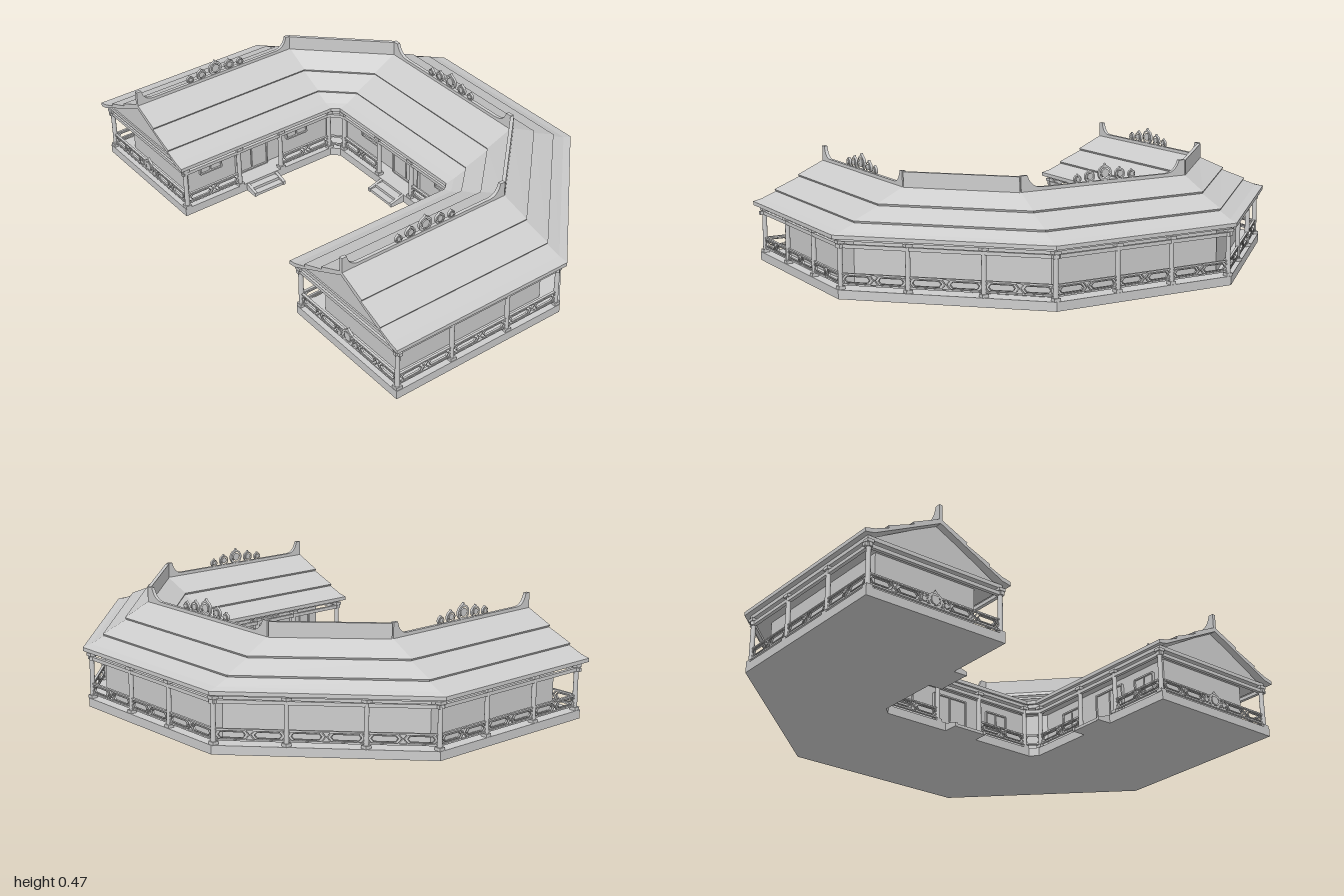
import * as THREE from 'three';

const grey = new THREE.MeshStandardMaterial({ color: 0xcccccc });
grey.name = 'pale grey';

function add(parent, name, geometry, x = 0, y = 0, z = 0) {
  const mesh = new THREE.Mesh(geometry, grey);
  mesh.name = name;
  mesh.position.set(x, y, z);
  parent.add(mesh);
  return mesh;
}
const box = (w, h, d) => new THREE.BoxGeometry(w, h, d);
const extrude = (shape, depth) =>
  new THREE.ExtrudeGeometry(shape, { depth, bevelEnabled: false, curveSegments: 8 }).translate(0, 0, -depth / 2);

// U-shaped plan line: left half as [x, z], mirrored to the right
const plan = (half) => [...half, ...half.slice().reverse().map(([x, z]) => [-x, z])];
const middle = (a, b) => a.map((p, i) => [(p[0] + b[i][0]) / 2, (p[1] + b[i][1]) / 2]);

// Sweep a closed profile of [s, y] around the U; s is -1 outside, 0 on the ridge, 1 in the court
function loft(outer, ridge, inner, profile) {
  const point = (j, k) => {
    const [s, y] = profile[k], e = s < 0 ? outer[j] : inner[j], r = ridge[j], t = Math.abs(s);
    return [r[0] + (e[0] - r[0]) * t, y, r[1] + (e[1] - r[1]) * t];
  };
  const n = profile.length, last = outer.length - 1, pos = [];
  for (let j = 0; j < last; j++) {
    for (let k = 0; k < n; k++) {
      const a = point(j, k), b = point(j, (k + 1) % n), c = point(j + 1, (k + 1) % n), d = point(j + 1, k);
      pos.push(...a, ...d, ...c, ...a, ...c, ...b);
    }
  }
  for (const [a, b, c] of THREE.ShapeUtils.triangulateShape(profile.map((p) => new THREE.Vector2(...p)), [])) {
    pos.push(...point(0, a), ...point(0, b), ...point(0, c));
    pos.push(...point(last, a), ...point(last, c), ...point(last, b));
  }
  const g = new THREE.BufferGeometry();
  g.setAttribute('position', new THREE.Float32BufferAttribute(pos, 3));
  g.computeVertexNormals();
  return g;
}
const slab = (outer, inner, y0, y1) =>
  loft(outer, middle(outer, inner), inner, [[-1, y0], [1, y0], [1, y1], [-1, y1]]);

// Group lying along p to q, its local x pointing towards q
function span(parent, name, p, q) {
  const g = new THREE.Group();
  g.name = name;
  g.position.set((p[0] + q[0]) / 2, 0, (p[1] + q[1]) / 2);
  g.rotation.y = Math.atan2(p[1] - q[1], q[0] - p[0]);
  parent.add(g);
  return [g, Math.hypot(q[0] - p[0], q[1] - p[1])];
}

function hexagon(path, w, h) {
  const c = Math.min(h * 0.8, w * 0.4);
  path.moveTo(-w, 0).lineTo(-w + c, -h).lineTo(w - c, -h).lineTo(w, 0).lineTo(w - c, h).lineTo(-w + c, h).closePath();
  return path;
}
function hexRing(w, h, t) {
  const shape = hexagon(new THREE.Shape(), w, h);
  shape.holes.push(hexagon(new THREE.Path(), w - t * 1.3, h - t));
  return extrude(shape, 0.008);
}

// Balustrade bay: two rails with a chain of nested hexagons
function railing(parent, p, q) {
  const [g, length] = span(parent, 'railing', p, q);
  const n = Math.max(1, Math.round(length / 0.12)), w = length / n;
  for (const y of [0.053, 0.094]) add(g, 'rail', box(length, 0.005, 0.01), 0, y, 0);
  for (let i = 0; i < n; i++) {
    const x = (i + 0.5) * w - length / 2;
    add(g, 'latticeHexagon', hexRing(w / 2, 0.02, 0.004), x, 0.0735, 0);
    if (w > 0.07) add(g, 'innerHexagon', hexRing(w / 2 - 0.015, 0.013, 0.003), x, 0.0735, 0);
  }
}

// Pointed flame disc: pierced leaf with a round boss
function flame(parent, x, y, r) {
  const leaf = new THREE.Shape();
  leaf.moveTo(0, r * 2.25).quadraticCurveTo(r * 0.12, r * 1.9, r * 0.55, r * 1.75);
  leaf.bezierCurveTo(r * 1.25, r * 1.3, r * 1.15, r * 0.3, r * 0.5, 0);
  leaf.lineTo(-r * 0.5, 0);
  leaf.bezierCurveTo(-r * 1.15, r * 0.3, -r * 1.25, r * 1.3, -r * 0.55, r * 1.75);
  leaf.quadraticCurveTo(-r * 0.12, r * 1.9, 0, r * 2.25);
  leaf.holes.push(new THREE.Path().absarc(0, r * 0.92, r * 0.75, 0, Math.PI * 2, true));
  add(parent, 'flameLeaf', extrude(leaf, 0.01), x, y, 0);
  const boss = new THREE.CylinderGeometry(r * 0.58, r * 0.58, 0.012, 16).rotateX(Math.PI / 2);
  add(parent, 'flameBoss', boss, x, y + r * 0.92, 0);
  add(parent, 'flameWeb', box(r * 1.6, r * 0.2, 0.006), x, y + r * 0.92, 0);
}

// Ridge crest sweeping up at both ends, with five flames
function crest(parent, p, q, sweep) {
  const [g, length] = span(parent, 'ridgeCrest', p, q);
  const h = length / 2, s = new THREE.Shape();
  s.moveTo(-h, 0.375).lineTo(h, 0.375).lineTo(h, 0.448).lineTo(h - sweep * 0.3, 0.448);
  s.quadraticCurveTo(h - sweep * 0.45, 0.402, h - sweep, 0.4).lineTo(-h + sweep, 0.4);
  s.quadraticCurveTo(-h + sweep * 0.45, 0.402, -h + sweep * 0.3, 0.448).lineTo(-h, 0.448);
  add(g, 'crestWall', extrude(s, 0.014));
  for (const [x, r] of [[0, 0.029], [0.068, 0.021], [0.122, 0.015]])
    for (const side of x ? [-1, 1] : [1]) flame(g, side * x, 0.4, r);
}

function post(parent, [x, z]) {
  add(parent, 'post', new THREE.CylinderGeometry(0.009, 0.01, 0.185, 12), x, 0.1275, z);
  add(parent, 'postFoot', box(0.026, 0.012, 0.026), x, 0.041, z);
  add(parent, 'postCap', box(0.028, 0.012, 0.028), x, 0.213, z);
}
function beam(parent, p, q) {
  const [g, length] = span(parent, 'eaveBeam', p, q);
  add(g, 'beam', box(length + 0.03, 0.014, 0.014), 0, 0.198, 0);
}

// Two treads between low cheeks, leading down along local +z
function steps(parent, x, z, turn) {
  const g = new THREE.Group();
  g.name = 'steps';
  g.position.set(x, 0, z);
  g.rotation.y = turn;
  add(g, 'upperTread', box(0.13, 0.024, 0.04), 0, 0.012, 0.01);
  add(g, 'lowerTread', box(0.13, 0.012, 0.065), 0, 0.006, 0.025);
  for (const s of [-1, 1]) {
    const cheek = new THREE.Shape();
    cheek.moveTo(-0.06, 0).lineTo(0.01, 0).lineTo(0.01, 0.035).lineTo(-0.055, 0.016).lineTo(-0.06, 0.016);
    add(g, 'stepCheek', extrude(cheek, 0.012).rotateY(Math.PI / 2), s * 0.07, 0, 0);
  }
  parent.add(g);
}

// Framed opening on a wall, facing local +z
function opening(parent, name, x, z, turn, w, y0, y1) {
  const g = new THREE.Group();
  g.name = name;
  g.position.set(x, (y0 + y1) / 2, z);
  g.rotation.y = turn;
  const h = y1 - y0;
  for (const s of [-1, 1]) {
    add(g, 'leaf', box(w / 2 - 0.006, h - 0.008, 0.006), s * w / 4, 0, 0.003);
    add(g, 'jamb', box(0.006, h, 0.014), s * w / 2, 0, 0.005);
    add(g, 'frameBar', box(w, 0.006, 0.014), 0, s * h / 2, 0.005);
  }
  parent.add(g);
}

export function createModel() {
  const model = new THREE.Group();
  model.name = 'courtyardPavilion';

  // Plinth and rooms
  add(model, 'plinth', slab(plan([[-0.98, 0.675], [-0.98, -0.1], [-0.39, -0.675]]),
    plan([[-0.385, 0.675], [-0.385, -0.05], [-0.355, -0.08]]), 0, 0.035));
  add(model, 'walls', slab(plan([[-0.9, 0.605], [-0.9, -0.07], [-0.37, -0.605]]),
    plan([[-0.47, 0.605], [-0.47, -0.09], [-0.41, -0.16]]), 0.03, 0.225));

  // Tiered roof shell, ceiling and gables
  const outer = plan([[-1, 0.69], [-1, -0.1], [-0.4, -0.69]]);
  const ridge = plan([[-0.685, 0.69], [-0.685, -0.06], [-0.37, -0.385]]);
  const inner = plan([[-0.37, 0.69], [-0.37, -0.045], [-0.345, -0.075]]);
  const slope = [[0.375, 0.336], [0.36, 0.328], [0.705, 0.284], [0.69, 0.276], [0.88, 0.252], [1, 0.243]];
  add(model, 'roof', loft(outer, ridge, inner, [
    [-1, 0.228], [-0.88, 0.235], [0, 0.372], [0.88, 0.235], [1, 0.228],
    ...slope.slice().reverse(), [0, 0.39], ...slope.map(([s, y]) => [-s, y])]));
  add(model, 'ceiling', slab(plan([[-0.975, 0.668], [-0.975, -0.1], [-0.39, -0.668]]),
    plan([[-0.39, 0.668], [-0.39, -0.05], [-0.36, -0.09]]), 0.218, 0.233));

  // Ridge crests: two wings, two plain diagonals, one at the back
  crest(model, ridge[0], ridge[1], 0.07);
  crest(model, ridge[2], ridge[3], 0.09);
  crest(model, ridge[4], ridge[5], 0.07);
  for (const i of [1, 3]) {
    const [g, length] = span(model, 'diagonalCrest', ridge[i], ridge[i + 1]);
    add(g, 'crestWall', box(length, 0.07, 0.014), 0, 0.41, 0);
  }

  // Posts, beams and railings on the outer side and the court side
  const outside = plan([[-0.965, 0.66], [-0.965, 0.415], [-0.965, 0.155], [-0.965, -0.09],
    [-0.78, -0.275], [-0.575, -0.475], [-0.385, -0.66], [-0.12, -0.66]]);
  const court = plan([[-0.395, 0.66], [-0.395, 0.405], [-0.395, 0.2], [-0.395, -0.05], [-0.345, -0.095], [-0.105, -0.095]]);
  const doorBays = [1, 5, 9];
  for (const line of [outside, court]) {
    line.forEach((p, i) => {
      post(model, p);
      if (i === line.length - 1) return;
      beam(model, p, line[i + 1]);
      if (line === outside || !doorBays.includes(i)) railing(model, p, line[i + 1]);
    });
  }

  for (const s of [-1, 1]) {
    // Wing ends: gable, beam and railing with flames
    const gable = new THREE.Shape();
    gable.moveTo(-0.275, 0.228).lineTo(0.275, 0.228).lineTo(0, 0.376);
    add(model, 'gable', extrude(gable, 0.014), s * 0.685, 0, 0.655);
    const ends = [[s * 0.685 - 0.285, 0.66], [s * 0.685 + 0.285, 0.66]];
    beam(model, ...ends);
    railing(model, ...ends);
    const [badge] = span(model, 'railFlames', ...ends);
    flame(badge, 0, 0.052, 0.03);
    for (const side of [-1, 1]) flame(badge, side * 0.048, 0.055, 0.017);

    // Court doors, windows and steps of each wing
    const turn = -s * Math.PI / 2;
    opening(model, 'wingDoor', s * 0.47, 0.3, turn, 0.15, 0.037, 0.19);
    for (const z of [0.5, 0.07]) opening(model, 'wingWindow', s * 0.47, z, turn, 0.1, 0.11, 0.18);
    steps(model, s * 0.385, 0.303, turn);
    opening(model, 'backWindow', s * 0.24, -0.16, 0, 0.1, 0.11, 0.18);
  }
  opening(model, 'mainDoor', 0, -0.16, 0, 0.16, 0.037, 0.19);
  steps(model, 0, -0.075, 0);
  return model;
}
